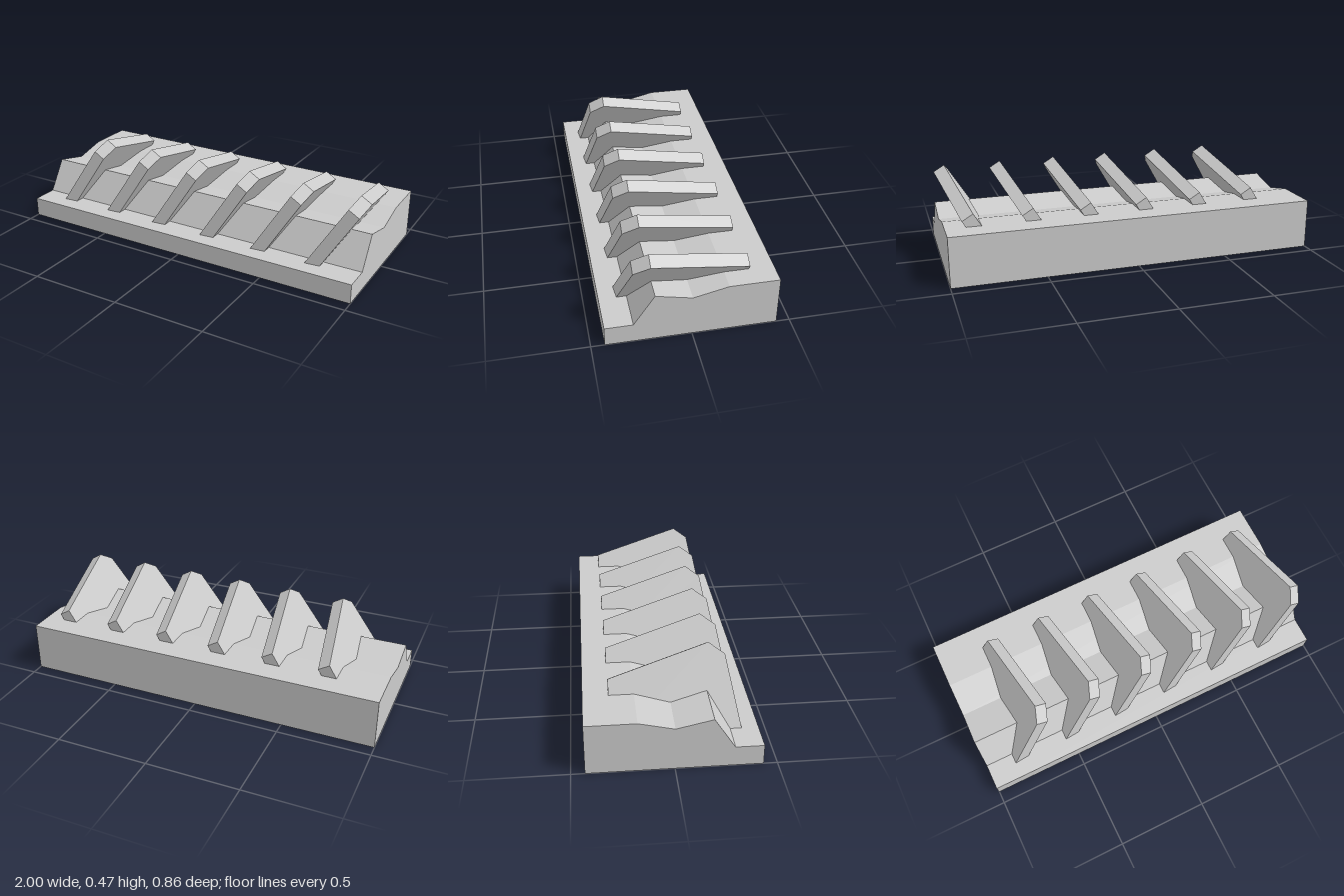
import * as THREE from 'three';

const material = new THREE.MeshStandardMaterial({ color: 0xcccccc, flatShading: true });

// Extrude a side profile of [z, y] points along +x, starting at x = 0
function extrudeAlongX(profile, width) {
  const shape = new THREE.Shape(profile.map(([z, y]) => new THREE.Vector2(-z, y)));
  return new THREE.ExtrudeGeometry(shape, { depth: width, bevelEnabled: false }).rotateY(Math.PI / 2);
}

export function createModel() {
  const model = new THREE.Group();
  model.name = 'finnedBlock';

  // Stepped base with a shallow V groove along its top
  const base = new THREE.Mesh(extrudeAlongX([
    [0.432, 0], [0.432, 0.106], [0.29, 0.106], [0.184, 0.271],
    [0, 0.229], [-0.178, 0.271], [-0.432, 0.271], [-0.432, 0],
  ], 2), material);
  base.name = 'base';
  base.position.x = -1;
  model.add(base);

  // Leaning fins, their feet sunk into the base
  const lean = 0.545;
  const finProfile = [
    [0.359, 0.05], [0.284, 0.423], [0.203, 0.475], [-0.304, 0.339], [-0.304, 0.05],
  ].map(([z, y]) => [z, y / Math.cos(lean)]);
  const finGeometry = extrudeAlongX(finProfile, 0.069).rotateZ(-lean);

  for (let i = 0; i < 6; i++) {
    const fin = new THREE.Mesh(finGeometry, material);
    fin.name = `fin${i + 1}`;
    fin.position.x = -0.911 + i * 0.3115;
    model.add(fin);
  }
  return model;
}
